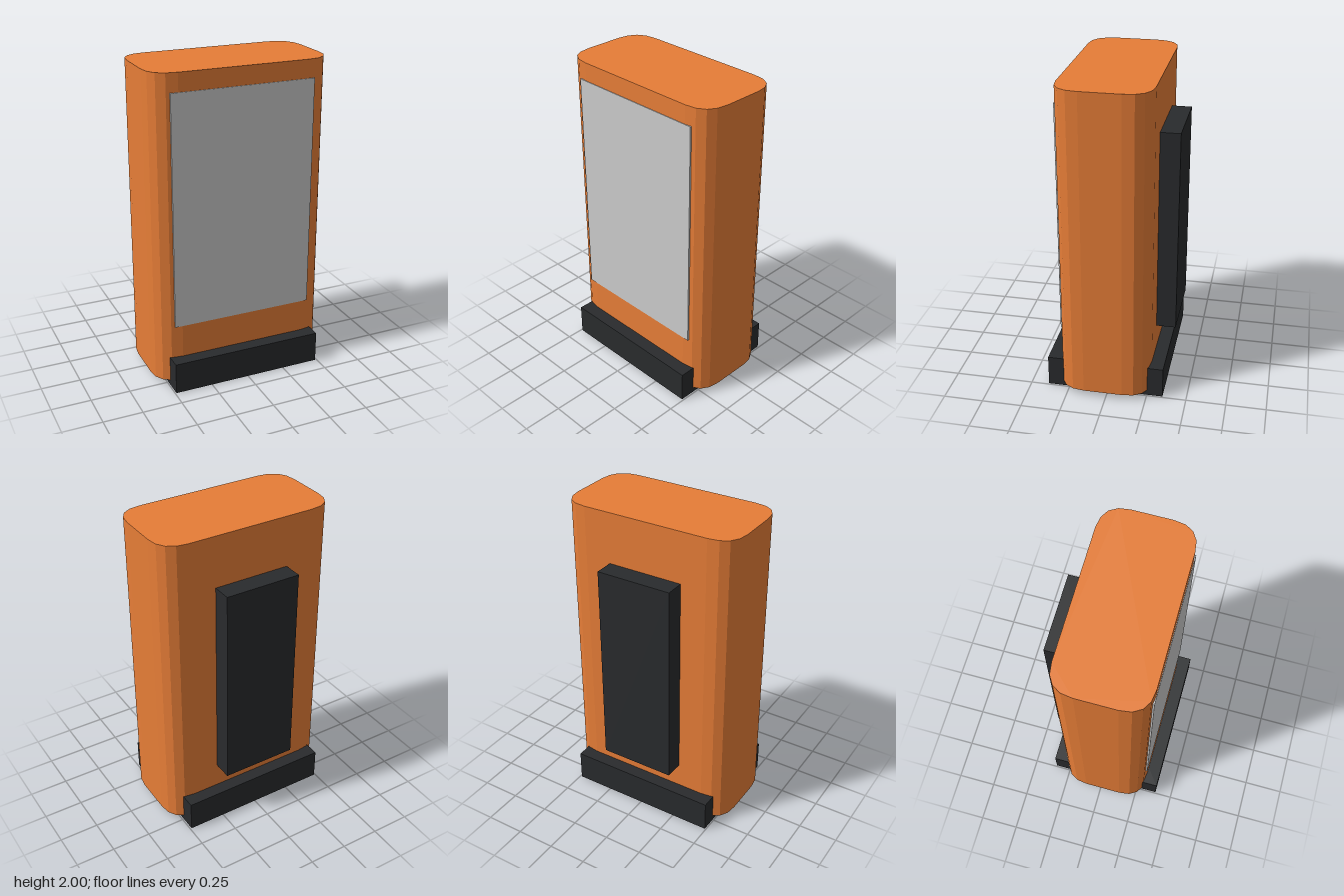
import * as THREE from 'three';

const orange = new THREE.MeshStandardMaterial({ color: 0xe67d37, flatShading: true });
const dark = new THREE.MeshStandardMaterial({ color: 0x292b2d });
const grey = new THREE.MeshStandardMaterial({ color: 0xcccccc });

// Box given by its lower and upper limits on each axis
function box(name, material, [x0, x1], [y0, y1], [z0, z1]) {
  const mesh = new THREE.Mesh(new THREE.BoxGeometry(x1 - x0, y1 - y0, z1 - z0), material);
  mesh.position.set((x0 + x1) / 2, (y0 + y1) / 2, (z0 + z1) / 2);
  mesh.name = name;
  return mesh;
}

// Rectangle with faceted, rounded corners
function roundedRect(w, d, r) {
  const s = new THREE.Shape();
  s.moveTo(w - r, -d);
  s.quadraticCurveTo(w, -d, w, -d + r);
  s.lineTo(w, d - r);
  s.quadraticCurveTo(w, d, w - r, d);
  s.lineTo(-w + r, d);
  s.quadraticCurveTo(-w, d, -w, d - r);
  s.lineTo(-w, -d + r);
  s.quadraticCurveTo(-w, -d, -w + r, -d);
  s.closePath();
  return s;
}

export function createModel() {
  const model = new THREE.Group();
  model.name = 'kiosk';

  // Upright cabinet
  const bottom = 0.037;
  const geometry = new THREE.ExtrudeGeometry(roundedRect(0.573, 0.285, 0.163), {
    depth: 2 - bottom, bevelEnabled: false, curveSegments: 4,
  });
  geometry.rotateX(-Math.PI / 2);
  const body = new THREE.Mesh(geometry, orange);
  body.name = 'body';
  body.position.set(0, bottom, 0.018);
  model.add(body);

  // Foot, rear housing and front screen
  model.add(
    box('base', dark, [-0.492, 0.49], [0, 0.2], [-0.35, 0.388]),
    box('rearHousing', dark, [-0.245, 0.243], [0.363, 1.675], [-0.39, -0.2]),
    box('screen', grey, [-0.459, 0.455], [0.413, 1.885], [0.29, 0.307]),
  );
  return model;
}
